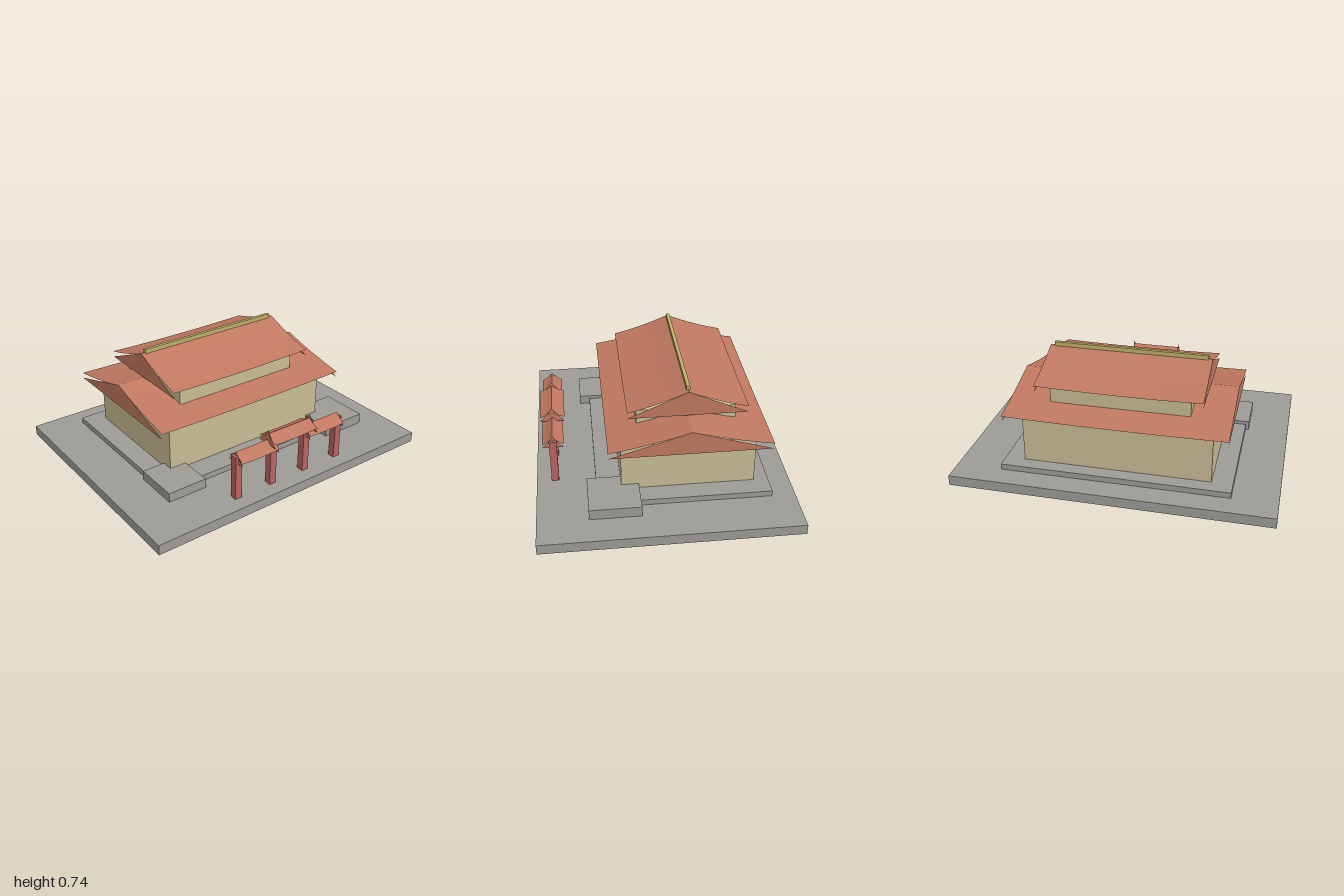
import * as THREE from 'three';

const mat = (name, color) => {
  const m = new THREE.MeshStandardMaterial({ color, side: THREE.DoubleSide });
  m.name = name;
  return m;
};

export function createModel() {
  const model = new THREE.Group();
  model.name = 'temple';
  const stone = mat('stone', 0x9c9b96);
  const wall = mat('wall', 0xc8bc94);
  const tile = mat('roofTile', 0xc07860);
  const post = mat('redPost', 0xba6460);
  const gold = mat('ridgeGold', 0xbdb068);

  // Box given by its limits on each axis
  const box = (name, m, x0, x1, y0, y1, z0, z1, parent = model) => {
    const mesh = new THREE.Mesh(new THREE.BoxGeometry(x1 - x0, y1 - y0, z1 - z0), m);
    mesh.position.set((x0 + x1) / 2, (y0 + y1) / 2, (z0 + z1) / 2);
    mesh.name = name;
    parent.add(mesh);
  };

  // Gabled roof: flat triangular ends under a sheet whose eaves curl upwards
  const roof = (name, { x, z, halfX, halfZ, ridge, drop, lift, gableRidge = ridge, gableEave }) => {
    const group = new THREE.Group();
    group.name = name;
    for (const side of [1, -1]) {
      const geo = new THREE.PlaneGeometry(2 * halfX, halfZ, 12, 8);
      geo.rotateX(-Math.PI / 2);
      const p = geo.attributes.position;
      for (let i = 0; i < p.count; i++) {
        const t = p.getZ(i) / halfZ + 0.5;
        const u = p.getX(i) / halfX;
        p.setXYZ(i, p.getX(i), ridge - drop * t + lift * t * t * (0.8 + 0.2 * u * u), t * halfZ);
      }
      geo.computeVertexNormals();
      if (side < 0) geo.rotateY(Math.PI);
      const slope = new THREE.Mesh(geo, tile);
      slope.name = side > 0 ? 'frontSlope' : 'backSlope';
      group.add(slope);

      const tri = new THREE.Shape([
        new THREE.Vector2(-halfZ, gableEave),
        new THREE.Vector2(halfZ, gableEave),
        new THREE.Vector2(0, gableRidge),
      ]);
      const gable = new THREE.Mesh(new THREE.ShapeGeometry(tri), tile);
      gable.rotation.y = side * Math.PI / 2;
      gable.position.x = side * (halfX - 0.001);
      gable.name = side > 0 ? 'leftGable' : 'rightGable';
      group.add(gable);
    }
    group.position.set(x, 0, z);
    model.add(group);
  };

  // Stone base, terrace and the two low side platforms
  box('base', stone, -1, 1, 0, 0.065, -0.785, 0.785);
  box('terrace', stone, -0.72, 0.71, 0.065, 0.102, -0.64, 0.42);
  box('rightPlatform', stone, -0.74, -0.48, 0.065, 0.125, 0.195, 0.487);
  box('leftPlatform', stone, 0.5, 0.81, 0.065, 0.132, 0.163, 0.477);

  // Two storeys with their roofs and the ridge bar
  box('lowerStorey', wall, -0.59, 0.585, 0.102, 0.414, -0.55, 0.27);
  box('upperStorey', wall, -0.438, 0.433, 0.41, 0.562, -0.445, 0.162);
  roof('lowerRoof', { x: 0, z: -0.143, halfX: 0.688, halfZ: 0.492, ridge: 0.552, drop: 0.15, lift: 0.036, gableEave: 0.402 });
  roof('upperRoof', { x: 0, z: -0.143, halfX: 0.517, halfZ: 0.364, ridge: 0.72, drop: 0.16, lift: 0.038, gableEave: 0.56 });
  box('ridgeBar', gold, -0.492, 0.488, 0.715, 0.743, -0.154, -0.132);

  // Entrance gate: four posts, two side roofs and a raised middle roof
  for (const x of [-0.39, -0.132, 0.125, 0.387]) {
    box('gatePost', post, x - 0.023, x + 0.023, 0.065, 0.352, 0.647, 0.693);
  }
  for (const x of [-0.26, 0.255]) {
    roof('sideGateRoof', { x, z: 0.67, halfX: 0.136, halfZ: 0.065, ridge: 0.377, drop: 0.075, lift: 0.024, gableEave: 0.302 });
  }
  roof('middleGateRoof', { x: -0.002, z: 0.67, halfX: 0.163, halfZ: 0.077, ridge: 0.413, drop: 0.062, lift: 0.024, gableRidge: 0.437, gableEave: 0.345 });

  return model;
}
